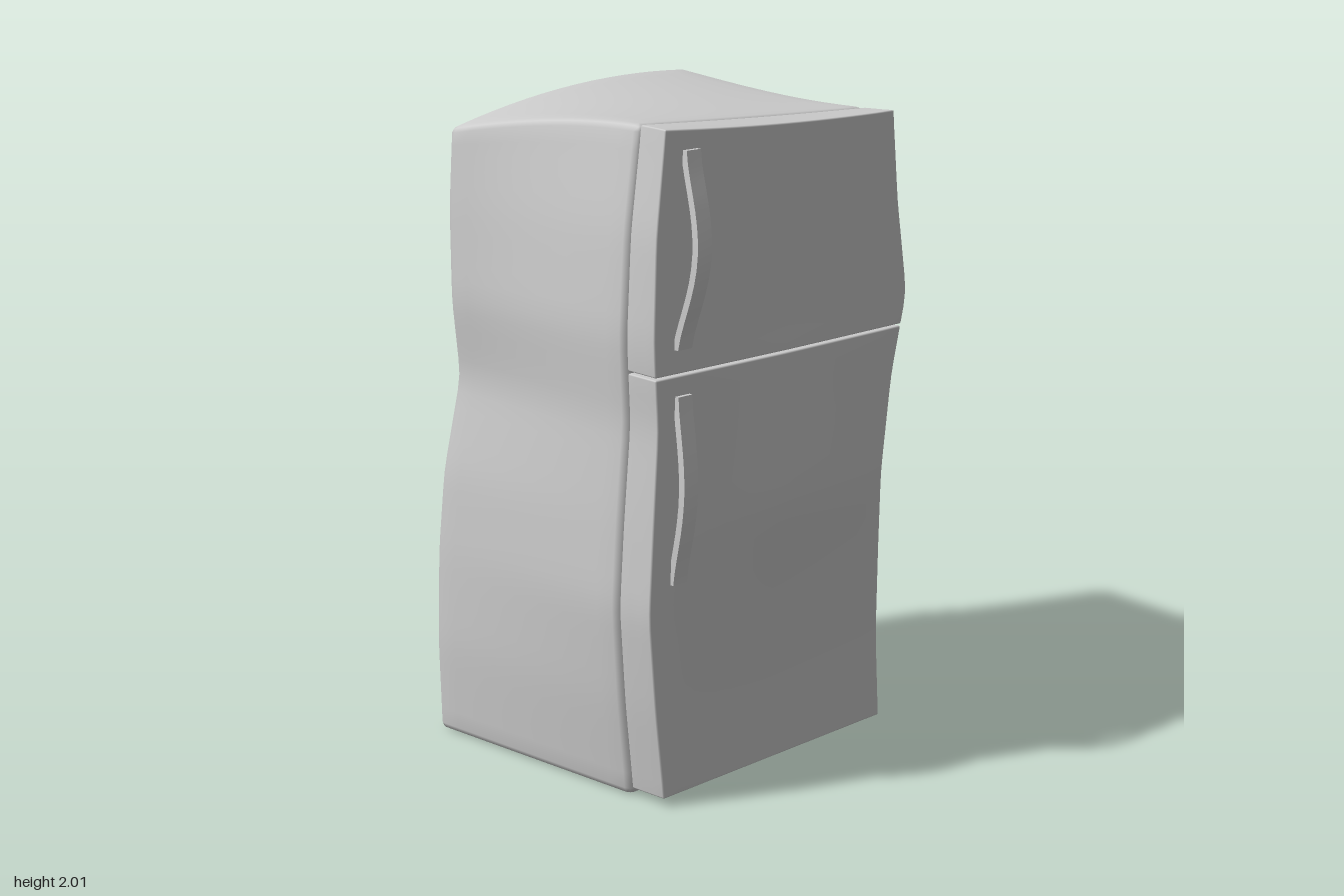
import * as THREE from 'three';
import { mergeVertices, toCreasedNormals } from 'three/addons/utils/BufferGeometryUtils.js';

const material = new THREE.MeshStandardMaterial({ color: 0xcccccc });
const { lerp, clamp } = THREE.MathUtils;

// Wobble of the cabinet: values of each upright edge at these heights
const LEVELS = [0, 0.3, 0.6, 0.85, 1.15, 1.4, 1.7, 2];
const EDGE = {
  frontMinX: [-0.46, -0.495, -0.52, -0.505, -0.485, -0.5, -0.49, -0.455],
  frontMaxX: [0.49, 0.48, 0.465, 0.447, 0.495, 0.56, 0.51, 0.48],
  backMinX: [-0.56, -0.567, -0.555, -0.535, -0.48, -0.505, -0.49, -0.465],
  backMaxX: [0.505, 0.495, 0.45, 0.48, 0.47, 0.42, 0.45, 0.49],
  midMinX: [0, 0, 0, 0, 0, 0.01, 0.03, 0.05],
  midMaxX: [0, 0.01, 0.03, 0.03, 0.03, 0.05, 0.03, 0.01],
  backMinZ: [-0.455, -0.455, -0.455, -0.445, -0.425, -0.425, -0.445, -0.455],
  backMaxZ: [-0.405, -0.37, -0.41, -0.47, -0.492, -0.48, -0.465, -0.455],
  backMidZ: [0, -0.02, -0.015, 0, 0, 0.01, 0, 0],
  frontMaxZ: [0.46, 0.45, 0.465, 0.485, 0.475, 0.47, 0.47, 0.47],
  frontMidZ: [0, 0, 0.015, 0.03, 0.015, 0, 0, 0],
};

function linear(table, height) {
  const y = clamp(height, 0, 2);
  const i = Math.max(1, LEVELS.findIndex((l) => l >= y));
  return lerp(table[i - 1], table[i], (y - LEVELS[i - 1]) / (LEVELS[i] - LEVELS[i - 1]));
}

// Slightly softened bends
const at = (name, y) =>
  (linear(EDGE[name], y - 0.04) + 2 * linear(EDGE[name], y) + linear(EDGE[name], y + 0.04)) / 4;

// Bends a point of the straight cabinet into the wobbly one
function warp(p) {
  const { y } = p;
  const u = p.x + 0.5;
  const t = (p.z + 0.455) / 0.925;
  const midT = 4 * t * (1 - t);
  const midU = 4 * u * (1 - u);
  const tentU = 1 - Math.abs(2 * u - 1);
  const minX = lerp(at('backMinX', y), at('frontMinX', y), t) + at('midMinX', y) * midT;
  const maxX = lerp(at('backMaxX', y), at('frontMaxX', y), t) + at('midMaxX', y) * midT;
  const backZ = lerp(at('backMinZ', y), at('backMaxZ', y), u) + at('backMidZ', y) * midU;
  const frontZ = lerp(0.468, at('frontMaxZ', y), u) + at('frontMidZ', y) * tentU;
  // Uneven top: low at the rear corner on one side and along the other side
  const sag =
    0.045 * u * Math.sin(2.2 * t) + 0.095 * (1 - u) * (1 - t) ** 2 + midU * lerp(-0.04, 0.01, t);
  return p.set(lerp(minX, maxX, u), y - sag * (y / 2) ** 6, lerp(backZ, frontZ, t));
}

// Bevelled, subdivided box between two corners, then warped
function warpedBox(name, min, max, r, segments) {
  const g = new THREE.BoxGeometry(1, 1, 1, ...segments);
  g.deleteAttribute('normal');
  g.deleteAttribute('uv');
  const pos = g.attributes.position;
  const p = new THREE.Vector3();
  const core = new THREE.Vector3();
  for (let i = 0; i < pos.count; i++) {
    p.fromBufferAttribute(pos, i);
    ['x', 'y', 'z'].forEach((axis, k) => {
      const n = segments[k];
      const j = Math.round((p[axis] + 0.5) * n);
      const inner = clamp((j - 1) / (n - 2), 0, 1);
      core[axis] = lerp(min[axis] + r, max[axis] - r, inner);
      p[axis] = j === 0 ? min[axis] : j === n ? max[axis] : core[axis];
    });
    p.sub(core).setLength(r).add(core);
    warp(p);
    pos.setXYZ(i, p.x, p.y, p.z);
  }
  const merged = mergeVertices(g, 1e-5);
  merged.computeVertexNormals();
  const mesh = new THREE.Mesh(merged, material);
  mesh.name = name;
  return mesh;
}

// Flat bar bowed away from the door, leaning a little sideways
function handle(name, y0, y1, x0, x1, z0, bow) {
  const g = new THREE.BoxGeometry(0.054, 1, 0.022, 1, 14, 1);
  const pos = g.attributes.position;
  for (let i = 0; i < pos.count; i++) {
    const s = pos.getY(i) + 0.5;
    const arch = Math.max(0, Math.sin(Math.PI * s)) ** 1.4;
    pos.setXYZ(
      i,
      pos.getX(i) + lerp(x0, x1, s) - 0.008 * arch,
      lerp(y0, y1, s),
      pos.getZ(i) + z0 + bow * arch
    );
  }
  const mesh = new THREE.Mesh(toCreasedNormals(g, 0.6), material);
  mesh.name = name;
  return mesh;
}

export function createModel() {
  const v = (x, y, z) => new THREE.Vector3(x, y, z);
  const group = new THREE.Group();
  group.name = 'refrigerator';
  group.add(
    warpedBox('cabinet', v(-0.505, 0, -0.46), v(0.505, 2, 0.347), 0.022, [16, 40, 14]),
    warpedBox('freezerDoor', v(-0.497, 1.304, 0.349), v(0.497, 1.998, 0.472), 0.005, [16, 16, 5]),
    warpedBox('lowerDoor', v(-0.497, 0.025, 0.349), v(0.497, 1.298, 0.472), 0.005, [16, 28, 5]),
    // Compressor housing low on the back
    warpedBox('rearHousing', v(-0.4, 0.16, -0.555), v(0.4, 0.485, -0.4), 0.025, [14, 8, 5]),
    handle('freezerHandle', 1.375, 1.935, -0.392, -0.36, 0.474, 0.07),
    handle('lowerHandle', 0.685, 1.24, -0.41, -0.39, 0.474, 0.043)
  );
  return group;
}
